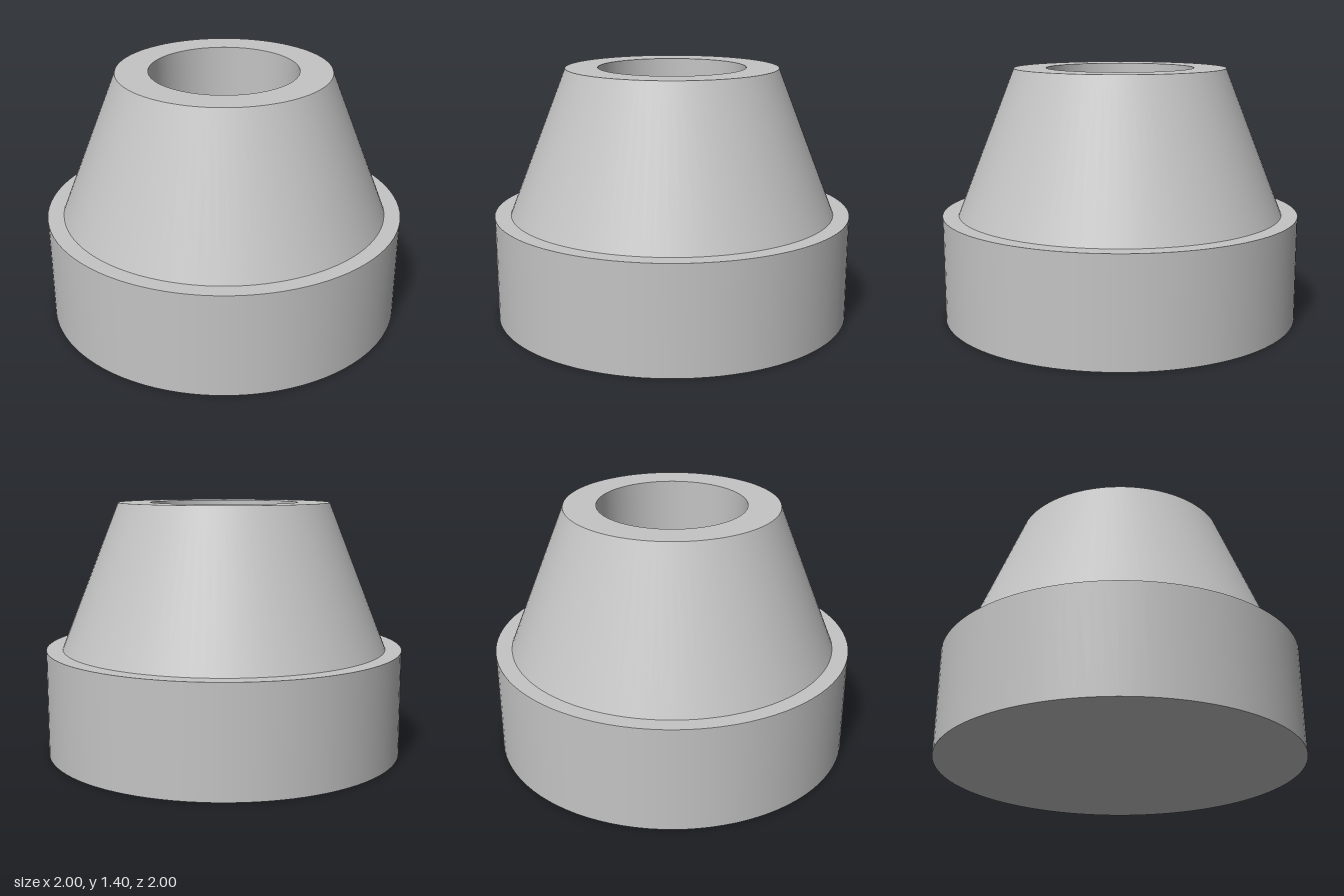
import * as THREE from 'three';
import { mergeGeometries } from 'three/addons/utils/BufferGeometryUtils.js';

// Revolve each straight profile segment on its own so the edges stay sharp
function turned(points) {
  const bands = [];
  for (let i = 0; i < points.length - 1; i++) {
    const pair = [points[i], points[i + 1]].map(([r, y]) => new THREE.Vector2(r, y));
    bands.push(new THREE.LatheGeometry(pair, 96));
  }
  return mergeGeometries(bands);
}

export function createModel() {
  const group = new THREE.Group();
  const grey = new THREE.MeshStandardMaterial({ color: 0xc4c4c4 });
  grey.name = 'light grey';

  const add = (name, points) => {
    const mesh = new THREE.Mesh(turned(points), grey);
    mesh.name = name;
    group.add(mesh);
  };

  // Cylindrical base: underside, wall and the ledge around the cone
  add('base', [[0, 0], [1, 0], [1, 0.59], [0.91, 0.59]]);
  // Tapered body with its flat rim
  add('taperedBody', [[0.91, 0.59], [0.59, 1.4], [0.41, 1.4]]);
  // Blind bore: straight wall and flat floor
  add('bore', [[0.41, 1.4], [0.41, 1.07], [0, 1.07]]);

  return group;
}
